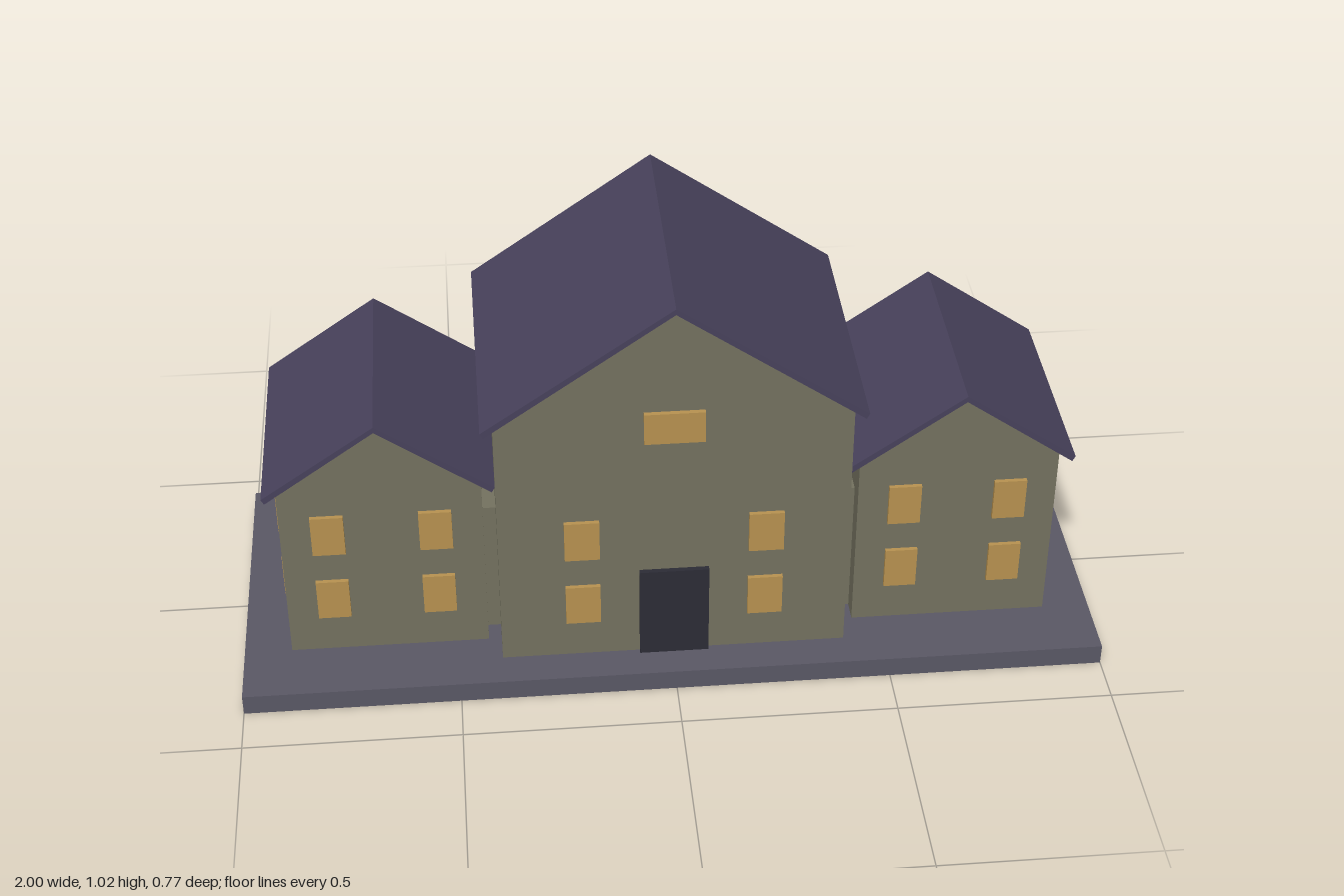
import * as THREE from 'three';

const material = (name, color) => {
  const m = new THREE.MeshStandardMaterial({ color });
  m.name = name;
  return m;
};

export function createModel() {
  const model = new THREE.Group();
  model.name = 'house';

  const wall = material('olive wall', 0x74725f);
  const roof = material('slate purple roof', 0x48425c);
  const glass = material('amber window', 0xb89250);
  const stone = material('grey stone', 0x5a5865);
  const dark = material('dark door', 0x2c2c36);

  const add = (parent, name, geometry, mat, x = 0, y = 0, z = 0) => {
    const mesh = new THREE.Mesh(geometry, mat);
    mesh.name = name;
    mesh.position.set(x, y, z);
    parent.add(mesh);
    return mesh;
  };
  const box = (parent, name, mat, w, h, d, x, y, z) =>
    add(parent, name, new THREE.BoxGeometry(w, h, d), mat, x, y, z);

  // Outline in x/y, extruded symmetrically along z
  const prism = (parent, name, mat, points, halfDepth) => {
    const shape = new THREE.Shape(points.map(([x, y]) => new THREE.Vector2(x, y)));
    const geometry = new THREE.ExtrudeGeometry(shape, { depth: 2 * halfDepth, bevelEnabled: false });
    return add(parent, name, geometry, mat, 0, 0, -halfDepth);
  };

  // Gabled block with a thin overhanging roof
  const block = (name, x, o) => {
    const g = new THREE.Group();
    g.name = name;
    g.position.x = x;
    model.add(g);
    prism(g, 'gabledWalls', wall,
      [[-o.w, 0.05], [o.w, 0.05], [o.w, o.wallTop], [0, o.peak], [-o.w, o.wallTop]], o.d);
    const e = o.roofW, inset = 0.007;
    prism(g, 'gableRoof', roof, [
      [-e, o.eave], [-e + inset, o.eave - 0.013], [0, o.ridge - 0.0145],
      [e - inset, o.eave - 0.013], [e, o.eave], [0, o.ridge],
    ], o.roofD);
    return g;
  };

  const rows = [0.2025, 0.3875];
  const sides = [-1, 1];

  // Foundation slab
  box(model, 'foundation', stone, 2, 0.05, 0.77, 0, 0.025, 0);

  // Central hall: doors, paired windows and attic window on both gables
  const hall = block('centralHall', 0, {
    w: 0.4, d: 0.3, wallTop: 0.715, peak: 1.0,
    roofW: 0.428, roofD: 0.328, eave: 0.717, ridge: 1.016,
  });
  for (const s of sides) {
    box(hall, 'door', dark, 0.16, 0.24, 0.016, 0, 0.17, s * 0.304);
    box(hall, 'atticWindow', glass, 0.136, 0.08, 0.016, 0, 0.692, s * 0.303);
    for (const y of rows) for (const sx of sides)
      box(hall, 'hallWindow', glass, 0.08, 0.105, 0.016, sx * 0.21, y, s * 0.302);
  }

  // Wings with windows on both gables and the outer side, joined by links
  for (const side of sides) {
    const wing = block(side > 0 ? 'leftWing' : 'rightWing', side * 0.66, {
      w: 0.23, d: 0.23, wallTop: 0.52, peak: 0.69,
      roofW: 0.26, roofD: 0.26, eave: 0.518, ridge: 0.7,
    });
    for (const y of rows) for (const s of sides) {
      for (const sx of sides)
        box(wing, 'wingWindow', glass, 0.075, 0.105, 0.016, sx * 0.122, y, s * 0.232);
      box(wing, 'sideWindow', glass, 0.016, 0.105, 0.07, side * 0.232, y, s * 0.107);
    }
    box(model, 'link', wall, 0.06, 0.35, 0.36, side * 0.415, 0.225, 0);
  }

  return model;
}
